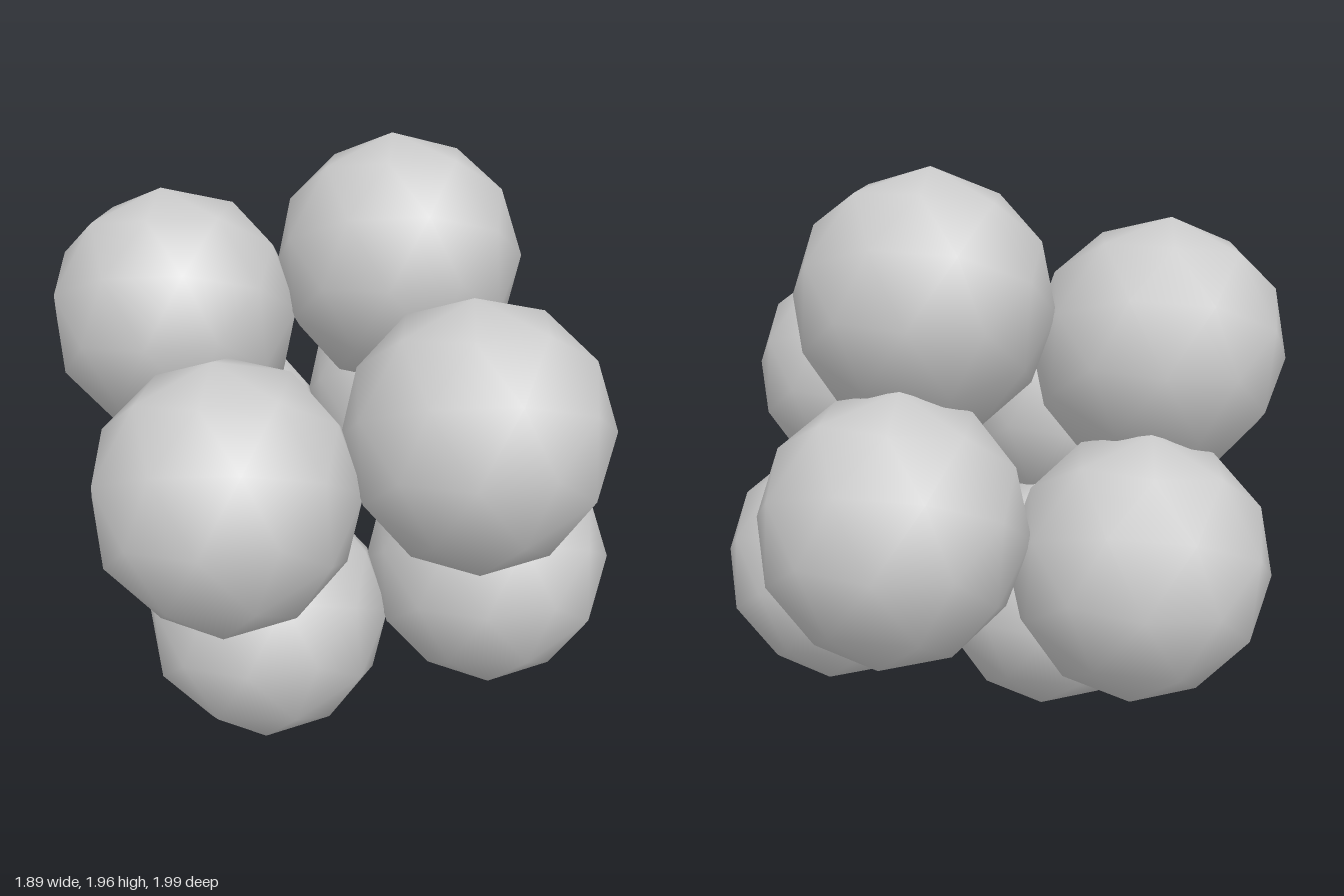
import * as THREE from 'three';

// Eight balls packed at the corners of a tilted box
export function createModel() {
  const group = new THREE.Group();
  group.name = 'ballCluster';
  const material = new THREE.MeshStandardMaterial({ color: 0xcccccc });

  // Coarse, smooth-shaded ball shared by all corners
  const ball = new THREE.IcosahedronGeometry(0.419, 1);
  ball.rotateY(Math.PI / 2);
  ball.scale(0.98, 1, 1);
  ball.rotateZ(0.066);
  ball.rotateX(-0.03);

  // Half edges of the tilted box
  const centre = new THREE.Vector3(0, 0.98, 0);
  const across = new THREE.Vector3(0.367, 0.08, -0.083);
  const forward = new THREE.Vector3(0.14, -0.175, 0.32);
  const upward = new THREE.Vector3(-0.029, 0.305, 0.175);

  for (const a of [-1, 1]) for (const f of [-1, 1]) for (const u of [-1, 1]) {
    const mesh = new THREE.Mesh(ball, material);
    mesh.name = `${u > 0 ? 'upper' : 'lower'}${f > 0 ? 'Front' : 'Back'}${a > 0 ? 'Left' : 'Right'}Ball`;
    mesh.position.copy(centre)
      .addScaledVector(across, a)
      .addScaledVector(forward, f)
      .addScaledVector(upward, u);
    group.add(mesh);
  }
  return group;
}
